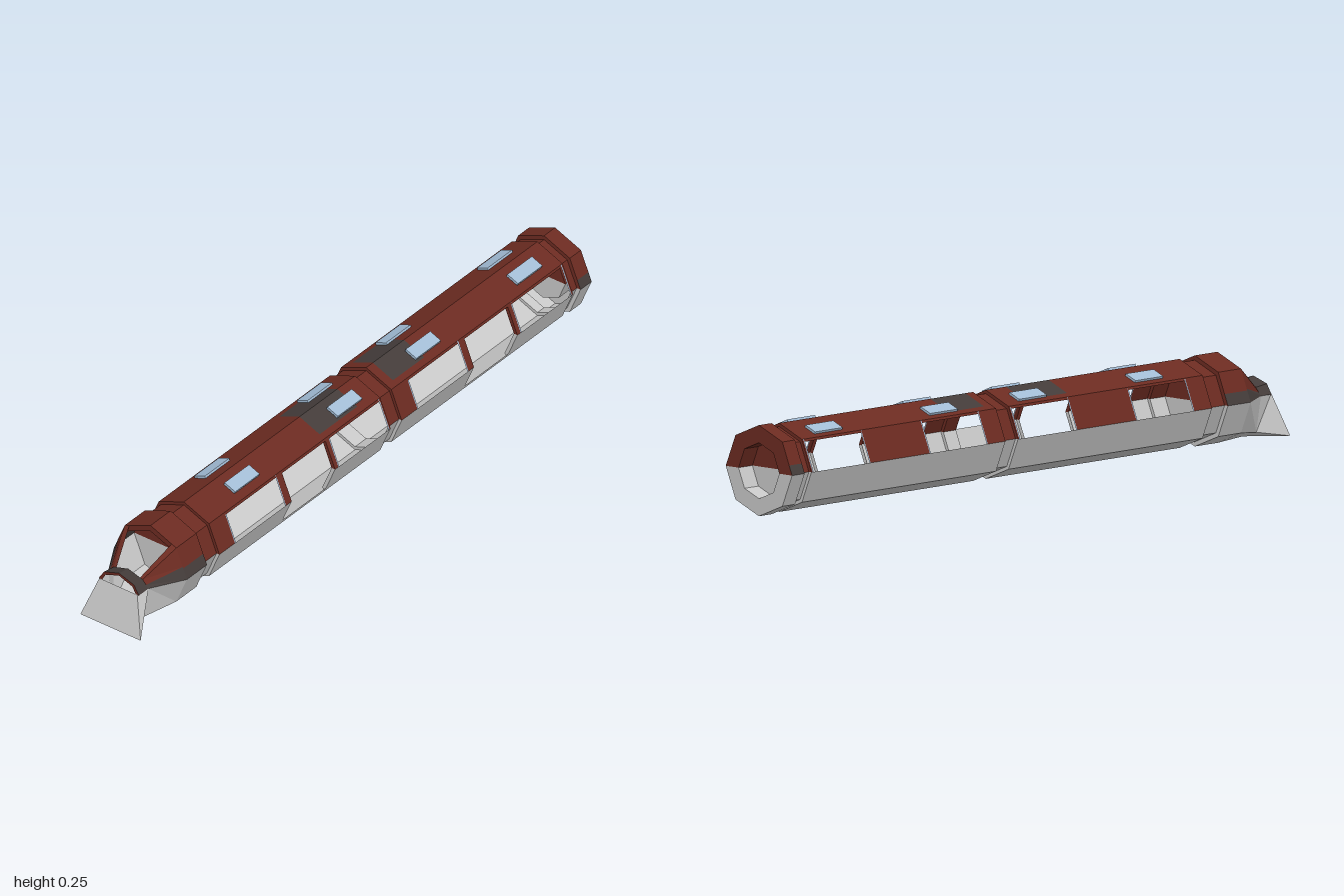
import * as THREE from 'three';

const mat = (name, color) => new THREE.MeshStandardMaterial({ name, color, side: THREE.DoubleSide, flatShading: true });

export function createModel() {
  const group = new THREE.Group();
  const red = mat('rust red', 0x6c2b21), grey = mat('light grey', 0xc8c8c8);
  const dark = mat('dark soot', 0x443c3a), blue = mat('pale blue', 0xa3bdd6);
  const CY = 0.128;

  // Octagonal cross-section: corner 0 on top, counting towards +x
  const oct = (r, cy = CY) => Array.from({ length: 8 }, (_, k) => {
    const a = Math.PI / 2 - k * Math.PI / 4;
    return [r * Math.cos(a), cy + r * Math.sin(a)];
  });
  const mirror = ([c0, c1, c2, c3, c4]) =>
    [c0, c1, c2, c3, c4, ...[c3, c2, c1].map(([x, y]) => [-x, y])];

  // Quads are collected per part and turned into one mesh each
  const parts = new Map();
  const quad = (name, m, a, b, c, d) => {
    if (!parts.has(name)) parts.set(name, { m, p: [] });
    parts.get(name).p.push(...a, ...b, ...c, ...a, ...c, ...d);
  };
  // One side k of the shell between two sections; f0..f1 is the share of its width
  const panel = (name, m, A, zA, B, zB, k, f0 = 0, f1 = 1) => {
    const at = (S, z, f) => {
      const p = S[k], q = S[(k + 1) % 8];
      return [p[0] + (q[0] - p[0]) * f, p[1] + (q[1] - p[1]) * f, z];
    };
    quad(name, m, at(A, zA, f0), at(A, zA, f1), at(B, zB, f1), at(B, zB, f0));
  };
  const UPPER = [6, 7, 0, 1], LOWER = [2, 3, 4, 5];
  const shell = (name, A, zA, B, zB, upper = UPPER, lower = LOWER) => {
    upper.forEach(k => panel(name + 'Upper', red, A, zA, B, zB, k));
    lower.forEach(k => panel(name + 'Lower', grey, A, zA, B, zB, k));
  };
  // Soot-dark lower share of the upper side walls
  const sootyWalls = (name, A, zA, B, zB, s) => {
    panel(name + 'Upper', red, A, zA, B, zB, 1, 0, 1 - s);
    panel(name + 'Soot', dark, A, zA, B, zB, 1, 1 - s, 1);
    panel(name + 'Upper', red, A, zA, B, zB, 6, s, 1);
    panel(name + 'Soot', dark, A, zA, B, zB, 6, 0, s);
  };

  const body = oct(0.124), neck = oct(0.114), big = oct(0.127), hole = oct(0.078), point = oct(0.0001);

  // Carriages: roof and belly, open windows both sides, open doorway on +x
  const car = (name, z0, z1, windows, door, soot) => {
    shell(name, body, z0, body, z1, [], [3, 4, 5]);
    [7, 0].forEach(k => {
      panel(name + 'Roof', red, body, z0, body, soot[0], k);
      panel(name + 'RoofSoot', dark, body, soot[0], body, soot[1], k, k ? 0.2 : 0, k ? 1 : 0.8);
      panel(name + 'Roof', red, body, soot[0], body, soot[1], k, k ? 0 : 0.8, k ? 0.2 : 1);
      panel(name + 'Roof', red, body, soot[1], body, z1, k);
    });
    // Lower wall around the doorway
    panel(name + 'Lower', grey, body, z0, body, door[0], 2);
    panel(name + 'Lower', grey, body, door[1], body, z1, 2);
    panel(name + 'Lower', grey, body, door[0], body, door[1], 2, 0.85, 1);
    // Upper wall pieces between openings
    for (const k of [1, 6]) {
      const gaps = [...windows, ...(k === 1 ? [door] : [])].sort((a, b) => b[0] - a[0]);
      let z = z0;
      for (const [a, b] of gaps) {
        if (z - a > 0.001) panel(name + 'Wall', red, body, z, body, a, k);
        z = b;
      }
      if (z - z1 > 0.001) panel(name + 'Wall', red, body, z, body, z1, k);
      // Lintel strip above the windows
      for (const [a, b] of gaps) panel(name + 'Lintel', red, body, a, body, b, k, k === 1 ? 0 : 0.92, k === 1 ? 0.08 : 1);
    }
    // Inward jambs either side of the doorway
    const inner = oct(0.112);
    for (const z of door) {
      panel(name + 'Jamb', red, inner, z, body, z, 1);
      panel(name + 'LowerJamb', grey, inner, z, body, z, 2);
    }
    // Blue window edges
    for (const [a, b] of windows) for (const z of [a, b]) {
      const s = z === a ? -0.004 : 0.004;
      for (const k of [1, 6]) panel('windowEdge', blue, body, z + Math.max(s, 0), body, z + Math.min(s, 0), k);
    }
  };
  car('frontCar', 0.67, -0.10, [[0.60, 0.37], [0.135, -0.095]], [0.345, 0.15], [0.15, -0.02]);
  car('rearCar', -0.15, -0.92, [[-0.22, -0.45], [-0.685, -0.915]], [-0.475, -0.67], [-0.18, -0.32]);

  // Narrow necks between sections, with stepped end rings
  for (const [a, b, A, B] of [[0.73, 0.67, big, body], [-0.10, -0.15, body, body], [-0.92, -0.95, body, big]]) {
    shell('neck', neck, a, neck, b);
    shell('neckRing', A, a, neck, a);
    shell('neckRing', neck, b, B, b);
  }
  // Bulkheads
  shell('bulkhead', point, 0.73, oct(0.114), 0.73);
  shell('bulkhead', hole, -0.985 + 0.04, point, -0.945);

  // Tail: thick collar with a recessed end
  shell('tail', big, -0.95, big, -1, [7, 0]);
  sootyWalls('tail', big, -0.95, big, -1, 0.3);
  shell('tailFace', big, -1, hole, -1);
  shell('tailRecess', hole, -1, hole, -0.945);

  // Nose: full collar, then a taper with an open windscreen
  const tip = mirror([[0, 0.165], [0.05, 0.15], [0.07, 0.128], [0.052, 0.025], [0, 0.008]]);
  shell('nose', big, 0.82, big, 0.73, [7, 0]);
  sootyWalls('nose', big, 0.82, big, 0.73, 0.35);
  shell('noseTaper', tip, 0.92, big, 0.82, []);
  sootyWalls('noseTaper', tip, 0.92, big, 0.82, 0.4);
  panel('screenFrame', red, tip, 0.92, big, 0.82, 0, 0.82, 1);
  panel('screenFrame', red, tip, 0.92, big, 0.82, 7, 0, 0.18);
  [7, 0].forEach(k => panel('screenLip', red, oct(0.108), 0.82, big, 0.82, k));

  // Hood over the plough
  const hood = mirror([[0, 0.173], [0.052, 0.156], [0.07, 0.128], [0.052, 0.025], [0, 0.008]]);
  UPPER.forEach(k => panel('hood', dark, hood, 0.962, tip, 0.92, k));
  const hoodIn = hood.map(([x, y]) => [x * 0.9, y - 0.008]);
  UPPER.forEach(k => panel('hoodFace', red, hoodIn, 0.962, hood, 0.962, k));

  // Plough: flared front plate with sides folding back to the nose
  const TL = [-0.066, 0.13, 0.965], TR = [0.066, 0.13, 0.965];
  const BL = [-0.105, 0.012, 1], BR = [0.105, 0.012, 1];
  const KL = [-0.052, 0.025, 0.92], KR = [0.052, 0.025, 0.92], K = [0, 0.008, 0.92];
  const SL = [-0.07, 0.128, 0.92], SR = [0.07, 0.128, 0.92];
  quad('plough', grey, BL, BR, TR, TL);
  quad('plough', grey, BR, KR, SR, TR);
  quad('plough', grey, KL, BL, TL, SL);
  quad('plough', grey, BL, KL, K, BR);
  quad('plough', grey, BR, K, KR, BR);

  for (const [name, { m, p }] of parts) {
    const g = new THREE.BufferGeometry();
    g.setAttribute('position', new THREE.Float32BufferAttribute(p, 3));
    g.computeVertexNormals();
    const mesh = new THREE.Mesh(g, m);
    mesh.name = name;
    group.add(mesh);
  }

  // Skylights lying on both roof slopes
  const pane = new THREE.BoxGeometry(0.04, 0.008, 0.11);
  for (const z of [-0.8, -0.343, 0.01, 0.472]) for (const s of [1, -1]) {
    const light = new THREE.Mesh(pane, blue);
    light.name = 'skylight';
    light.position.set(s > 0 ? 0.048 : -0.055, s > 0 ? 0.24 : 0.232, z);
    light.rotation.z = -s * Math.PI / 8;
    group.add(light);
  }
  return group;
}
